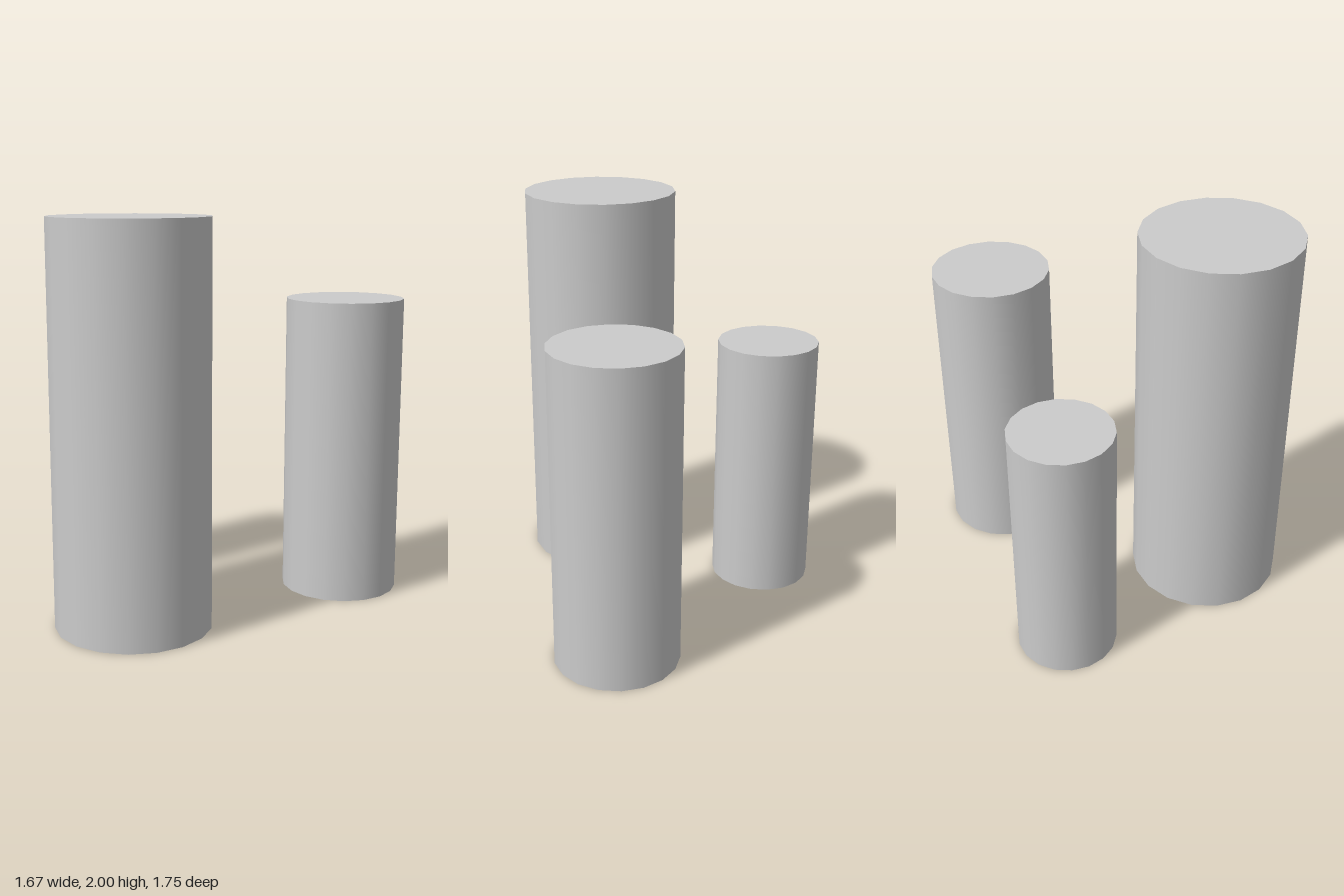
import * as THREE from 'three';

const SIDES = 18;

export function createModel() {
  const model = new THREE.Group();
  const material = new THREE.MeshStandardMaterial({ color: 0xcccccc, side: THREE.DoubleSide });

  // A pillar: smooth tube wall with a flat lid, open underneath
  function addPillar(name, x, z, radius, height) {
    const pillar = new THREE.Group();
    pillar.name = name;
    pillar.position.set(x, 0, z);

    const wall = new THREE.Mesh(
      new THREE.CylinderGeometry(radius, radius, height, SIDES, 1, true, Math.PI / 2), material);
    wall.name = name + 'Wall';
    wall.position.y = height / 2;

    const lid = new THREE.Mesh(new THREE.CircleGeometry(radius, SIDES), material);
    lid.name = name + 'Lid';
    lid.rotation.x = -Math.PI / 2;
    lid.position.y = height;

    pillar.add(wall, lid);
    model.add(pillar);
  }

  addPillar('tallPillar', -0.097, 0.488, 0.392, 2);
  addPillar('mediumPillar', 0.53, -0.579, 0.305, 1.56);
  addPillar('shortPillar', -0.583, -0.322, 0.255, 1.305);

  return model;
}
